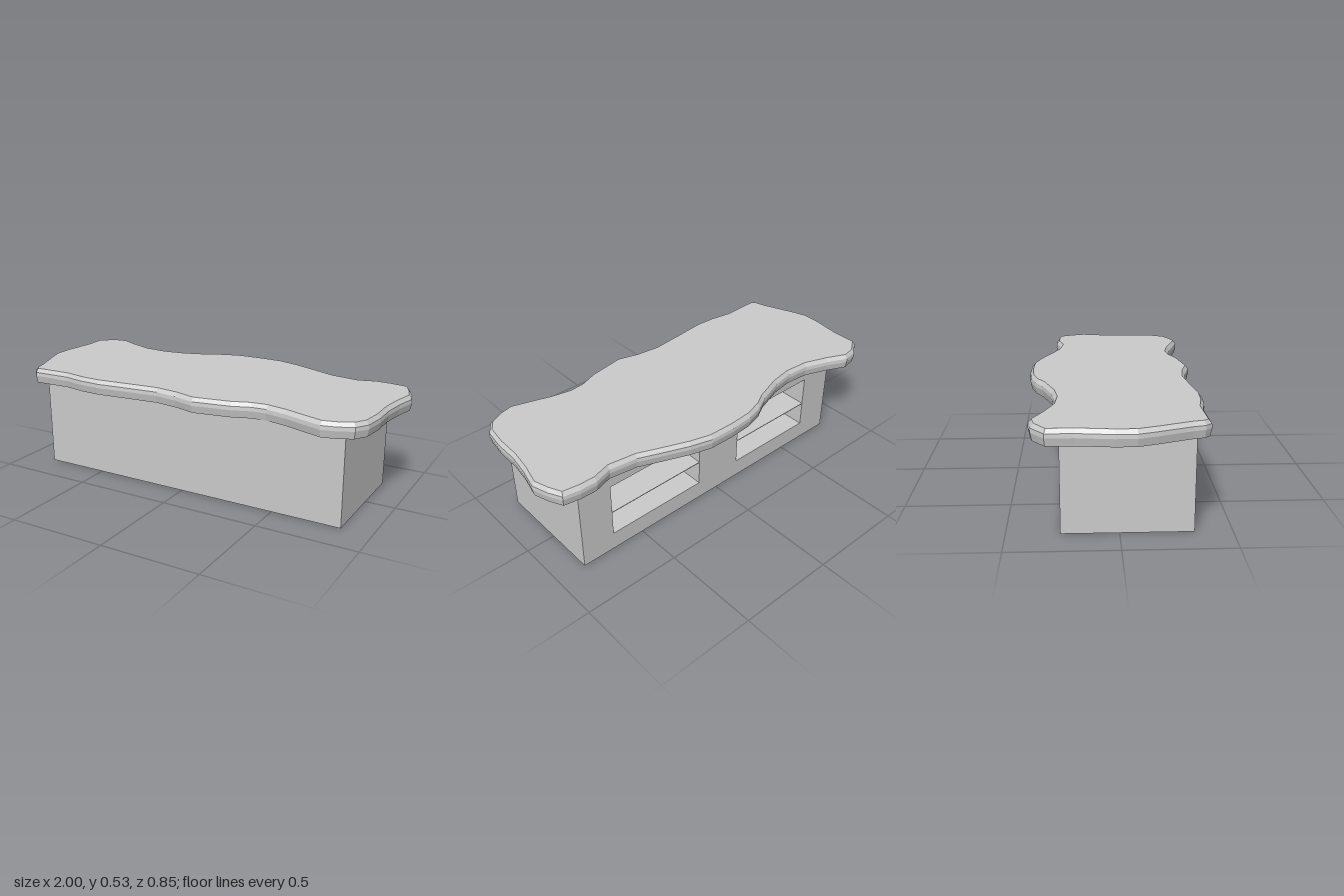
import * as THREE from 'three';

// Slab outline as x, z pairs, clockwise seen from above, starting at the back left corner of the plan
const OUTLINE = [
  -0.98, -0.315, -0.9, -0.375, -0.825, -0.388, -0.72, -0.34, -0.6, -0.297, -0.48, -0.288,
  -0.37, -0.305, -0.23, -0.352, -0.16, -0.39, -0.065, -0.417, 0.055, -0.425, 0.19, -0.422,
  0.3, -0.392, 0.43, -0.342, 0.54, -0.298, 0.68, -0.278, 0.77, -0.305, 0.855, -0.303,
  0.94, -0.288, 0.975, -0.22, 1, -0.14, 0.975, -0.03, 0.96, 0.08, 0.96, 0.2,
  0.945, 0.31, 0.905, 0.37, 0.83, 0.405, 0.762, 0.42, 0.66, 0.39, 0.565, 0.36,
  0.465, 0.34, 0.39, 0.347, 0.3, 0.38, 0.11, 0.412, 0, 0.382, -0.12, 0.367,
  -0.25, 0.38, -0.45, 0.402, -0.56, 0.397, -0.665, 0.378, -0.865, 0.385, -0.895, 0.355,
  -0.91, 0.3, -0.97, 0.15, -1, 0.065, -1, -0.03, -0.98, -0.19,
];
// Edge profile of the slab: height and inset from the outline
const PROFILE = [[0.453, 0.008], [0.49, 0], [0.509, 0.002], [0.528, 0.017]];

function slabGeometry() {
  const pts = [];
  for (let i = 0; i < OUTLINE.length; i += 2) pts.push(new THREE.Vector2(OUTLINE[i], OUTLINE[i + 1]));
  const n = pts.length;
  const inward = pts.map((p, i) => {
    const d = pts[(i + 1) % n].clone().sub(pts[(i + n - 1) % n]).normalize();
    return new THREE.Vector2(-d.y, d.x);
  });

  // One ring of vertices per profile step
  const pos = [], index = [];
  for (const [y, inset] of PROFILE) {
    pts.forEach((p, i) => pos.push(p.x + inward[i].x * inset, y, p.y + inward[i].y * inset));
  }
  for (let k = 0; k < PROFILE.length - 1; k++) {
    for (let i = 0; i < n; i++) {
      const j = (i + 1) % n;
      const a = k * n + i, b = k * n + j, c = b + n, d = a + n;
      index.push(a, d, c, a, c, b);
    }
  }

  // Flat underside and flat top
  const top = (PROFILE.length - 1) * n;
  for (const [a, b, c] of THREE.ShapeUtils.triangulateShape(pts, [])) {
    const u = pts[b].clone().sub(pts[a]), v = pts[c].clone().sub(pts[a]);
    const [p, q] = u.cross(v) < 0 ? [b, c] : [c, b];
    index.push(top + a, top + p, top + q, a, q, p);
  }

  const g = new THREE.BufferGeometry();
  g.setAttribute('position', new THREE.Float32BufferAttribute(pos, 3));
  g.setIndex(index);
  const flat = g.toNonIndexed();
  flat.computeVertexNormals();
  return flat;
}

function rectangle(Type, x0, x1, y0, y1) {
  return new Type([[x0, y0], [x1, y0], [x1, y1], [x0, y1]].map(([x, y]) => new THREE.Vector2(x, y)));
}

export function createModel() {
  const group = new THREE.Group();
  const material = new THREE.MeshStandardMaterial({ color: 0xcccccc, flatShading: true });
  const add = (name, geometry, x = 0, y = 0, z = 0) => {
    const mesh = new THREE.Mesh(geometry, material);
    mesh.name = name;
    mesh.position.set(x, y, z);
    group.add(mesh);
  };

  const left = -0.83, right = 0.85, height = 0.453;
  const back = -0.26, front = 0.33, panel = 0.03;
  const depth = front - back - panel;
  const bays = [[-0.645, -0.143], [0.122, 0.672]];

  // Cabinet with two bays open at the back
  const body = rectangle(THREE.Shape, left, right, 0, height);
  for (const [x0, x1] of bays) body.holes.push(rectangle(THREE.Path, x0, x1, 0.097, 0.39));
  add('cabinet', new THREE.ExtrudeGeometry(body, { depth, bevelEnabled: false }), 0, 0, back);

  // Closed front panel
  add('frontPanel', new THREE.BoxGeometry(right - left, height, panel),
    (left + right) / 2, height / 2, front - panel / 2);

  // One thin shelf in each bay
  for (const [x0, x1] of bays) {
    add('shelf', new THREE.BoxGeometry(x1 - x0, 0.004, depth), (x0 + x1) / 2, 0.232, back + depth / 2);
  }

  // Wavy countertop slab
  add('countertop', slabGeometry());
  return group;
}
